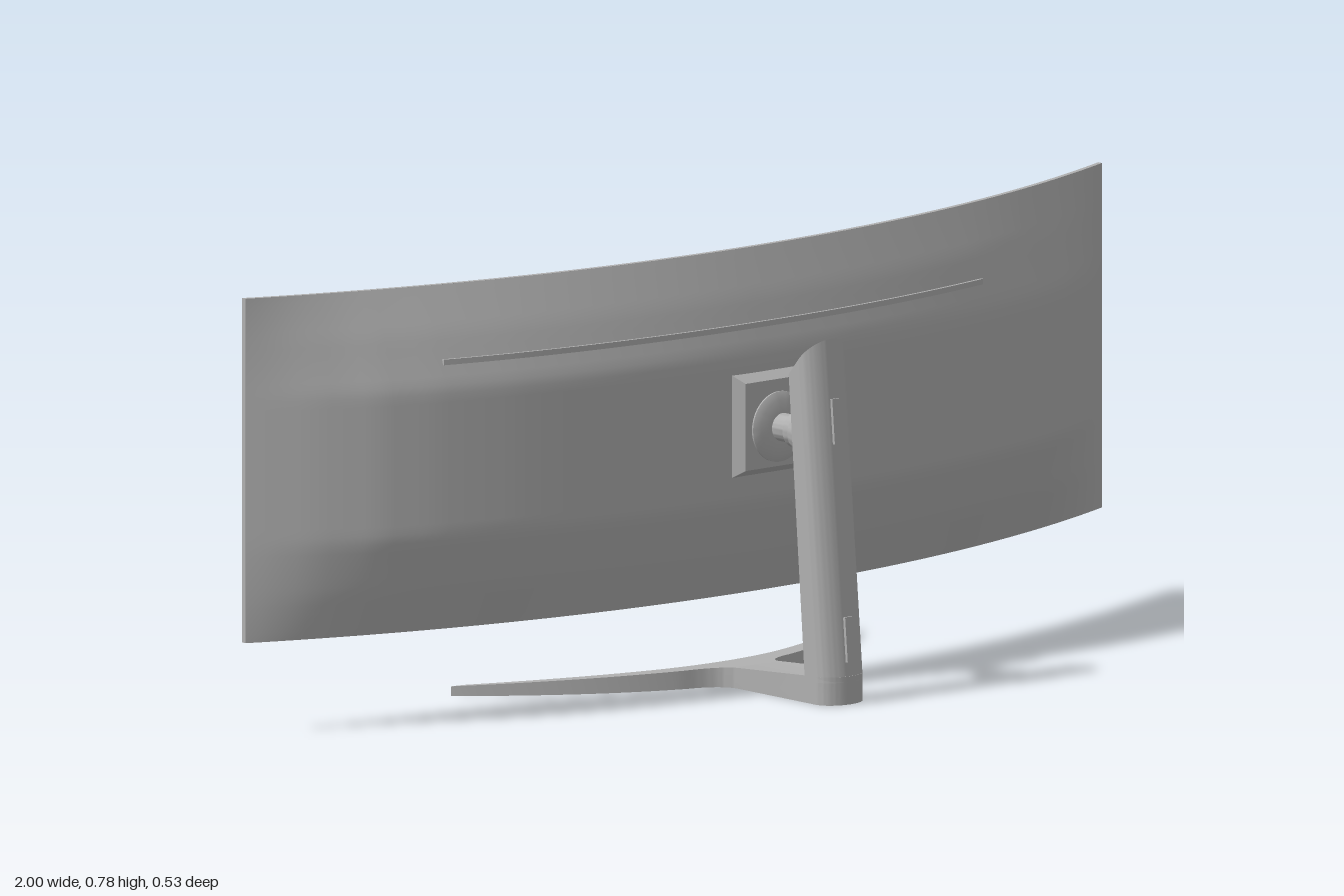
import * as THREE from 'three';
import { toCreasedNormals } from 'three/addons/utils/BufferGeometryUtils.js';

const grey = new THREE.MeshStandardMaterial({ color: 0xb0b0b0 });
grey.name = 'grey plastic';

const PANEL_Y = 0.4725, PANEL_H = 0.615, R = 2.54;
const lerp = THREE.MathUtils.lerp;

// Piecewise linear curve through [position, value] pairs
function ramp(points, t) {
  for (let i = 1; i < points.length; i++) {
    const [a, va] = points[i - 1], [b, vb] = points[i];
    if (t <= b) return lerp(va, vb, (t - a) / (b - a));
  }
  return points[points.length - 1][1];
}

// Screen curve, and the swelling of the rear shell across and up the panel
const arc = x => -0.015 - (R - Math.sqrt(R * R - x * x));
const across = x => ramp([[0, 1], [0.3, 1.06], [0.55, 1.12], [0.7, 1.1], [0.8, 0.98], [0.9, 0.58], [1, 0]], Math.abs(x));
const upward = y => ramp([[0, 1], [0.43, 1], [0.58, 0.77], [0.74, 0.53], [1, 0]], Math.abs(y - PANEL_Y) / (PANEL_H / 2));
const rearZ = (x, y) => arc(x) + 0.0105 + 0.0545 * across(x) * upward(y);

// Move every vertex by a rule
function warp(geo, rule) {
  const p = geo.attributes.position, v = new THREE.Vector3();
  for (let i = 0; i < p.count; i++) {
    rule(v.fromBufferAttribute(p, i));
    p.setXYZ(i, v.x, v.y, v.z);
  }
  geo.computeVertexNormals();
  return geo;
}

// Upright unit-high prism from a plan shape drawn in (x, -z)
function prism(shape, rule) {
  const geo = new THREE.ExtrudeGeometry(shape, { depth: 1, bevelEnabled: false, curveSegments: 16 });
  geo.rotateX(-Math.PI / 2);
  return toCreasedNormals(warp(geo, rule), 0.6);
}

export function createModel() {
  const model = new THREE.Group();
  model.name = 'curvedMonitor';
  const add = (name, geo, parent = model) => {
    const mesh = new THREE.Mesh(geo, grey);
    mesh.name = name;
    parent.add(mesh);
    return mesh;
  };

  // Curved display plate with its thin edge
  const plate = new THREE.BoxGeometry(2, PANEL_H, 0.01, 64, 1, 1);
  plate.translate(0, PANEL_Y, 0.005);
  add('screenPlate', warp(plate, v => { v.z += arc(v.x); }));

  // Swollen rear shell
  const shell = new THREE.PlaneGeometry(2, PANEL_H, 80, 40);
  shell.translate(0, PANEL_Y, 0);
  add('rearShell', warp(shell, v => { v.z = rearZ(v.x, v.y); }));

  // Narrow ridge along the upper rear
  const ridge = new THREE.BoxGeometry(1.23, 0.01, 0.008, 48, 1, 1);
  ridge.translate(-0.065, 0.65, 0);
  add('rearRidge', warp(ridge, v => { v.z += rearZ(v.x, 0.65); }));

  // Mount: tapered pad, then turned disc, neck and flare
  const pad = new THREE.CylinderGeometry(0.11, 0.138, 0.03, 4);
  pad.rotateY(Math.PI / 4).rotateX(Math.PI / 2).translate(0, 0.477, 0.055);
  add('mountPad', toCreasedNormals(pad, 0.5));

  const profile = [
    [0.063, 0.066], [0.063, 0.073], [0.05, 0.08], [0.025, 0.08], [0.025, 0.115],
    [0.031, 0.115], [0.031, 0.13], [0.036, 0.133], [0.042, 0.15], [0.047, 0.175],
  ].map(([r, z]) => new THREE.Vector2(r, z));
  const neck = new THREE.LatheGeometry(profile, 40);
  neck.rotateX(Math.PI / 2).translate(0, 0.47, 0);
  add('mountNeck', toCreasedNormals(neck, 0.5));

  // Leaning column: flat towards the panel, rounded behind, slanted top
  const section = new THREE.Shape();
  section.moveTo(-0.05, 0);
  section.lineTo(-0.05, -0.45);
  section.absellipse(0, -0.45, 0.05, 0.55, Math.PI, Math.PI * 2, false);
  section.lineTo(0.05, 0);
  section.closePath();
  add('column', prism(section, v => {
    const s = v.z, h = v.y;
    v.y = lerp(0.04, lerp(0.58, 0.645, s), h);
    v.z = lerp(lerp(0.196, 0.262, s), lerp(0.153, 0.208, s), h);
  }));

  // Small covers on the back of the column
  for (const [name, y, h] of [['upperCover', 0.5, 0.08], ['lowerCover', 0.115, 0.08]]) {
    const cover = add(name, new THREE.BoxGeometry(0.018, h, 0.008));
    cover.position.set(0, y, 0.262 - (y - 0.04) * 0.0893 + 0.001);
    cover.rotation.x = -0.089;
  }

  // Foot: rounded heel and two sweeping arms, thinning towards the tips
  const foot = new THREE.Shape();
  foot.moveTo(0.05, -0.225);
  foot.lineTo(0.05, -0.015);
  foot.quadraticCurveTo(0.055, 0.025, 0.12, 0.04);
  foot.quadraticCurveTo(0.29, 0.1, 0.46, 0.247);
  foot.lineTo(0.475, 0.262);
  foot.lineTo(0.45, 0.257);
  foot.quadraticCurveTo(0.28, 0.14, 0.13, 0.094);
  foot.quadraticCurveTo(0, 0.06, -0.13, 0.094);
  foot.quadraticCurveTo(-0.28, 0.14, -0.45, 0.257);
  foot.lineTo(-0.475, 0.262);
  foot.lineTo(-0.46, 0.247);
  foot.quadraticCurveTo(-0.29, 0.1, -0.12, 0.04);
  foot.quadraticCurveTo(-0.055, 0.025, -0.05, -0.015);
  foot.lineTo(-0.05, -0.225);
  foot.absellipse(0, -0.225, 0.05, 0.037, Math.PI, Math.PI * 2, false);
  add('foot', prism(foot, v => { v.y *= 0.017 + (Math.min(v.z, 0.2) + 0.262) * 0.072; }));

  return model;
}
